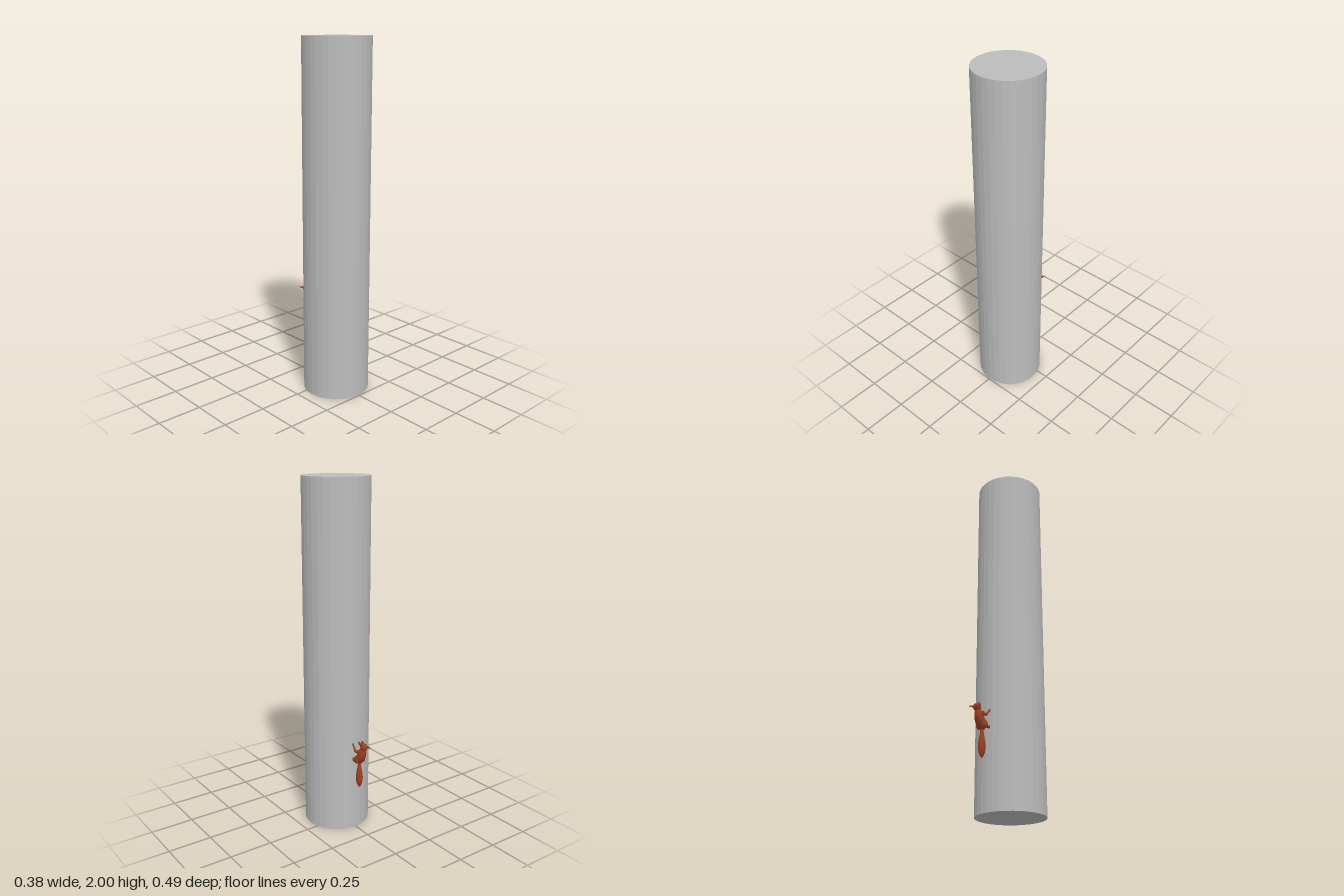
import * as THREE from 'three';

const mat = (name, color, flatShading = false) => {
  const m = new THREE.MeshStandardMaterial({ color, flatShading });
  m.name = name;
  return m;
};

// Closed body of elliptical sections, each [y, z, radiusX, radiusZ], listed from bottom to top
function loft(sections, sides = 12) {
  const pos = [], idx = [];
  sections.forEach(([y, z, rx, rz]) => {
    for (let i = 0; i < sides; i++) {
      const a = (i / sides) * Math.PI * 2;
      pos.push(Math.sin(a) * rx, y, z + Math.cos(a) * rz);
    }
  });
  for (let r = 0; r < sections.length - 1; r++) {
    for (let i = 0; i < sides; i++) {
      const a = r * sides + i, b = r * sides + ((i + 1) % sides);
      idx.push(a, b, b + sides, a, b + sides, a + sides);
    }
  }
  const g = new THREE.BufferGeometry();
  g.setAttribute('position', new THREE.Float32BufferAttribute(pos, 3));
  g.setIndex(idx);
  g.computeVertexNormals();
  return g;
}

// Tapered limb between two points
function limb(a, b, ra, rb, sides = 8) {
  const from = new THREE.Vector3(...a), to = new THREE.Vector3(...b);
  const dir = to.clone().sub(from);
  const g = new THREE.CylinderGeometry(rb, ra, dir.length(), sides);
  g.applyQuaternion(new THREE.Quaternion().setFromUnitVectors(new THREE.Vector3(0, 1, 0), dir.normalize()));
  const mid = from.add(to).multiplyScalar(0.5);
  return g.translate(mid.x, mid.y, mid.z);
}

const ball = (x, y, z, rx, ry, rz, tilt = 0) =>
  new THREE.SphereGeometry(1, 12, 8).scale(rx, ry, rz).rotateX(tilt).translate(x, y, z);

export function createModel() {
  const model = new THREE.Group();
  const bark = mat('grey trunk', 0xbcbcbc, true);
  const fur = mat('russet fur', 0x9c4020);
  const chest = mat('olive chest', 0x80734a);
  const dark = mat('dark eye', 0x20140f);
  const squirrel = new THREE.Group();
  squirrel.name = 'squirrel';
  const add = (name, geometry, material, parent = squirrel) => {
    const mesh = new THREE.Mesh(geometry, material);
    mesh.name = name;
    parent.add(mesh);
  };

  // Tall trunk
  add('trunk', new THREE.CylinderGeometry(0.188, 0.188, 2, 32).translate(0, 1, 0.057), bark, model);

  // Torso, leaning away from the trunk towards the shoulders
  add('torso', loft([
    [0.415, -0.163, 0.001, 0.001], [0.422, -0.165, 0.016, 0.014], [0.44, -0.17, 0.027, 0.024],
    [0.465, -0.181, 0.028, 0.028], [0.49, -0.19, 0.023, 0.026], [0.51, -0.195, 0.017, 0.02],
    [0.525, -0.198, 0.013, 0.015], [0.53, -0.198, 0.001, 0.001],
  ]), fur);
  add('chest', ball(0, 0.475, -0.171, 0.016, 0.034, 0.02, -0.35), chest);

  // Head looking upwards, with the ears laid back
  add('head', ball(0, 0.53, -0.206, 0.019, 0.021, 0.023), fur);
  add('muzzle', ball(0, 0.547, -0.194, 0.011, 0.014, 0.012), fur);
  add('nose', ball(0, 0.558, -0.189, 0.004, 0.003, 0.004), dark);

  // Bushy hanging tail
  add('tail', loft([
    [0.27, -0.166, 0.001, 0.001], [0.278, -0.166, 0.008, 0.009], [0.3, -0.166, 0.016, 0.018],
    [0.33, -0.166, 0.02, 0.022], [0.365, -0.166, 0.016, 0.017], [0.4, -0.166, 0.01, 0.01],
    [0.43, -0.168, 0.008, 0.008], [0.44, -0.169, 0.001, 0.001],
  ]), fur);

  // Paired parts
  for (const s of [1, -1]) {
    add('ear', limb([s * 0.011, 0.534, -0.213], [s * 0.022, 0.531, -0.246], 0.008, 0.0005), fur);
    add('eye', ball(s * 0.0155, 0.54, -0.2, 0.003, 0.004, 0.004), dark);
    // Forelegs reach up to the trunk
    add('upperForeleg', limb([s * 0.018, 0.5, -0.188], [s * 0.025, 0.495, -0.162], 0.01, 0.007), fur);
    add('lowerForeleg', limb([s * 0.025, 0.495, -0.162], [s * 0.021, 0.523, -0.136], 0.007, 0.004), fur);
    add('forepaw', ball(s * 0.021, 0.526, -0.134, 0.006, 0.009, 0.005), fur);
    // Hind legs brace against it
    add('thigh', ball(s * 0.022, 0.444, -0.166, 0.01, 0.022, 0.02, 0.3), fur);
    add('shin', limb([s * 0.024, 0.436, -0.16], [s * 0.021, 0.432, -0.136], 0.008, 0.005), fur);
    add('hindPaw', ball(s * 0.021, 0.437, -0.135, 0.006, 0.01, 0.005), fur);
  }

  model.add(squirrel);
  return model;
}
